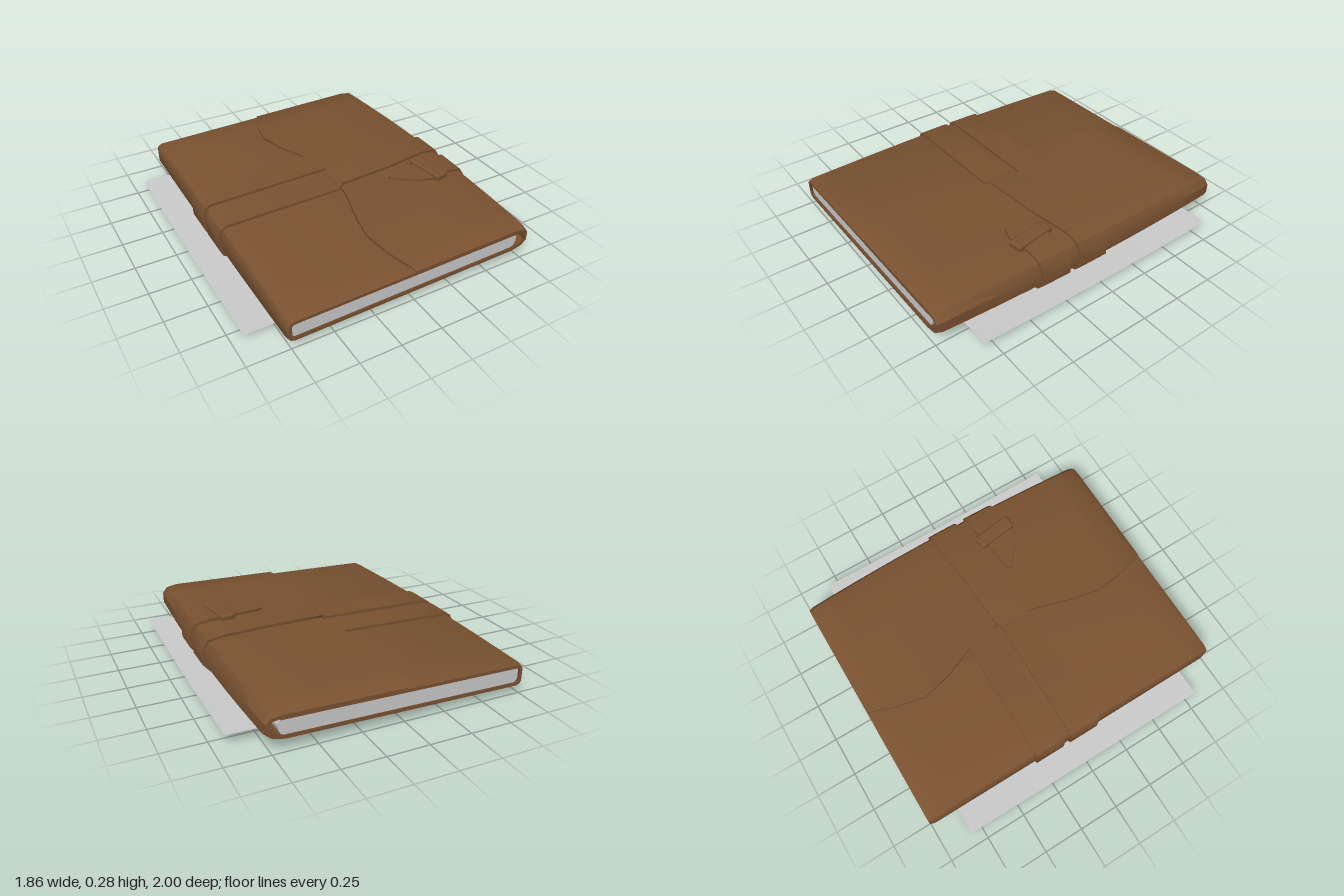
import * as THREE from 'three';
import { toCreasedNormals } from 'three/addons/utils/BufferGeometryUtils.js';
import { RoundedBoxGeometry } from 'three/addons/geometries/RoundedBoxGeometry.js';

// Maps a section point [x, h, layer] at depth z onto the swollen, slightly tilted book
function place([x, h, layer = 0], z) {
  const bulge = 1 - z * z;
  const px = x > 0.7 ? x * (1 + 0.03 * bulge) : x;
  return new THREE.Vector3(px, 0.134 + 0.019 * x + h * (0.072 + 0.025 * bulge) + layer, z);
}

// Closed slab between an outer and an inner grid of points (n along the path, m across)
function slab(n, m, outer, inner) {
  const pos = [];
  const quad = (a, b, c, d) => [a, b, c, a, c, d].forEach((p) => pos.push(p.x, p.y, p.z));
  for (let i = 0; i < n - 1; i++) {
    for (let k = 0; k < m - 1; k++) {
      quad(outer(i, k), outer(i + 1, k), outer(i + 1, k + 1), outer(i, k + 1));
      quad(inner(i, k), inner(i, k + 1), inner(i + 1, k + 1), inner(i + 1, k));
    }
    quad(outer(i, m - 1), outer(i + 1, m - 1), inner(i + 1, m - 1), inner(i, m - 1));
    quad(outer(i, 0), inner(i, 0), inner(i + 1, 0), outer(i + 1, 0));
  }
  const e = n - 1;
  for (let k = 0; k < m - 1; k++) {
    quad(outer(0, k), outer(0, k + 1), inner(0, k + 1), inner(0, k));
    quad(outer(e, k), inner(e, k), inner(e, k + 1), outer(e, k + 1));
  }
  const geo = new THREE.BufferGeometry();
  geo.setAttribute('position', new THREE.Float32BufferAttribute(pos, 3));
  return toCreasedNormals(geo, 0.6);
}

// Leather strip following a path, running counter-clockwise seen from the front
function ribbon(n, m, base, lift, thickness) {
  const normal = (i, k) => {
    const sum = new THREE.Vector3();
    for (const j of [i - 1, i]) {
      if (j < 0 || j > n - 2) continue;
      const d = base(j + 1, k).sub(base(j, k));
      sum.add(new THREE.Vector3(d.y, -d.x, 0).normalize());
    }
    return sum.normalize();
  };
  const at = (off) => (i, k) => base(i, k).addScaledVector(normal(i, k), off(k));
  return slab(n, m, at(lift), at((k) => lift(k) - thickness));
}

export function createModel() {
  const leather = new THREE.MeshStandardMaterial({ color: 0x7a5231 });
  leather.name = 'brownLeather';
  const paper = new THREE.MeshStandardMaterial({ color: 0xcccccc, side: THREE.DoubleSide });
  paper.name = 'palePaper';
  const model = new THREE.Group();
  model.name = 'wrappedJournal';
  const add = (name, geo, mat) => {
    const mesh = new THREE.Mesh(geo, mat);
    mesh.name = name;
    model.add(mesh);
    return mesh;
  };

  // Wavy flap edge as [z, x]
  const wave = [
    [-1, -0.01], [-0.97, -0.025], [-0.82, -0.08], [-0.65, -0.118], [-0.46, -0.072],
    [-0.28, 0], [-0.1, 0.043], [0.05, 0.038], [0.2, 0.022], [0.27, 0.005],
    [0.45, -0.047], [0.63, -0.083], [0.82, -0.06], [0.97, -0.015], [1, 0],
  ];

  // Cover: inner top board, spine, bottom, fold and the overlapping flap in one sheet
  const cover = [
    [0.7, 1], [0, 1], [-0.73, 1], [-0.757, 0.85], [-0.77, 0.55], [-0.77, -0.55],
    [-0.757, -0.85], [-0.73, -1], [0, -1], [0.68, -1], [0.75, -0.78], [0.785, -0.35],
    [0.785, 0.5], [0.755, 0.9, 0.012], [0.69, 1, 0.018], [0.4, 1, 0.018], [0, 1, 0.018],
  ];
  const last = cover.length - 1;
  const coverPoint = (i, k) => {
    const [z, edge] = wave[k];
    const [x, h, layer = 0] = cover[i];
    return place([i === last ? edge : x, h, Math.abs(z) === 1 ? layer * 0.4 : layer], z);
  };
  const rim = (k) => (Math.abs(wave[k][0]) === 1 ? -0.008 : 0);
  add('cover', ribbon(cover.length, wave.length, coverPoint, rim, 0.02), leather);

  // Page block
  const page = [[0.71, 0.2], [0.69, 0.73], [0, 0.73], [-0.72, 0.73], [-0.745, 0.4]];
  const pageZ = [-0.985, -0.7, -0.35, 0, 0.35, 0.7, 0.985];
  add('pages', slab(page.length, pageZ.length,
    (i, k) => place(page[i], pageZ[k]),
    (i, k) => place([page[i][0], -page[i][1]], pageZ[k])), paper);

  // Strap: starts under the flap, winds twice round the book; [x, h, layer, z0, z1]
  const strap = [];
  const run = (points, zA, zB) => points.forEach(([x, h, layer = 0], i) => {
    const z = zA + (zB - zA) * (i / (points.length - 1));
    strap.push([x, h, layer, z - 0.097, z + 0.097]);
  });
  const spine = cover.slice(2, 8);
  const fold = cover.slice(9, 15);
  run([[0.06, 1], [-0.35, 1]], -0.175, -0.175);
  run(spine, -0.175, -0.175);
  run([[-0.4, -1], [0, -1], [0.4, -1]], -0.13, -0.05);
  run(fold, -0.005, -0.005);
  run([[0.4, 1, 0.018], [0.05, 1, 0.018], [0.025, 1, 0.016]], 0.03, 0.0675);
  run([[0.015, 1], [-0.35, 1]], 0.0675, 0.0675);
  run(spine, 0.0675, 0.0675);
  run([[-0.4, -1], [0, -1], [0.4, -1]], 0.11, 0.21);
  run(fold, 0.26, 0.26);
  // Pointed strap end
  [[0.55, 0.188, 0.375], [0.46, 0.199, 0.345], [0.37, 0.209, 0.27], [0.33, 0.222, 0.236]]
    .forEach(([x, z0, z1]) => strap.push([x, 1, 0.018, z0, z1]));
  add('strap', ribbon(strap.length, 3,
    (i, k) => place(strap[i], strap[i][3] + (strap[i][4] - strap[i][3]) * k / 2),
    () => 0.016, 0.018), leather);

  // Keeper loop over the strap end
  const keeper = add('keeperLoop', new RoundedBoxGeometry(0.09, 0.045, 0.26, 3, 0.014), leather);
  keeper.position.set(0.597, 0.27, 0.27);
  keeper.rotation.y = 0.15;

  // Loose sheet beneath, sagging with the underside of the book
  const sheet = new THREE.PlaneGeometry(1.86, 1.64, 1, 12).rotateX(-Math.PI / 2);
  const p = sheet.attributes.position;
  for (let i = 0; i < p.count; i++) {
    const under = place([0, -1], p.getZ(i)).y;
    p.setY(i, under + 0.019 * p.getX(i) - 0.004);
  }
  sheet.computeVertexNormals();
  add('underSheet', sheet, paper);

  return model;
}
